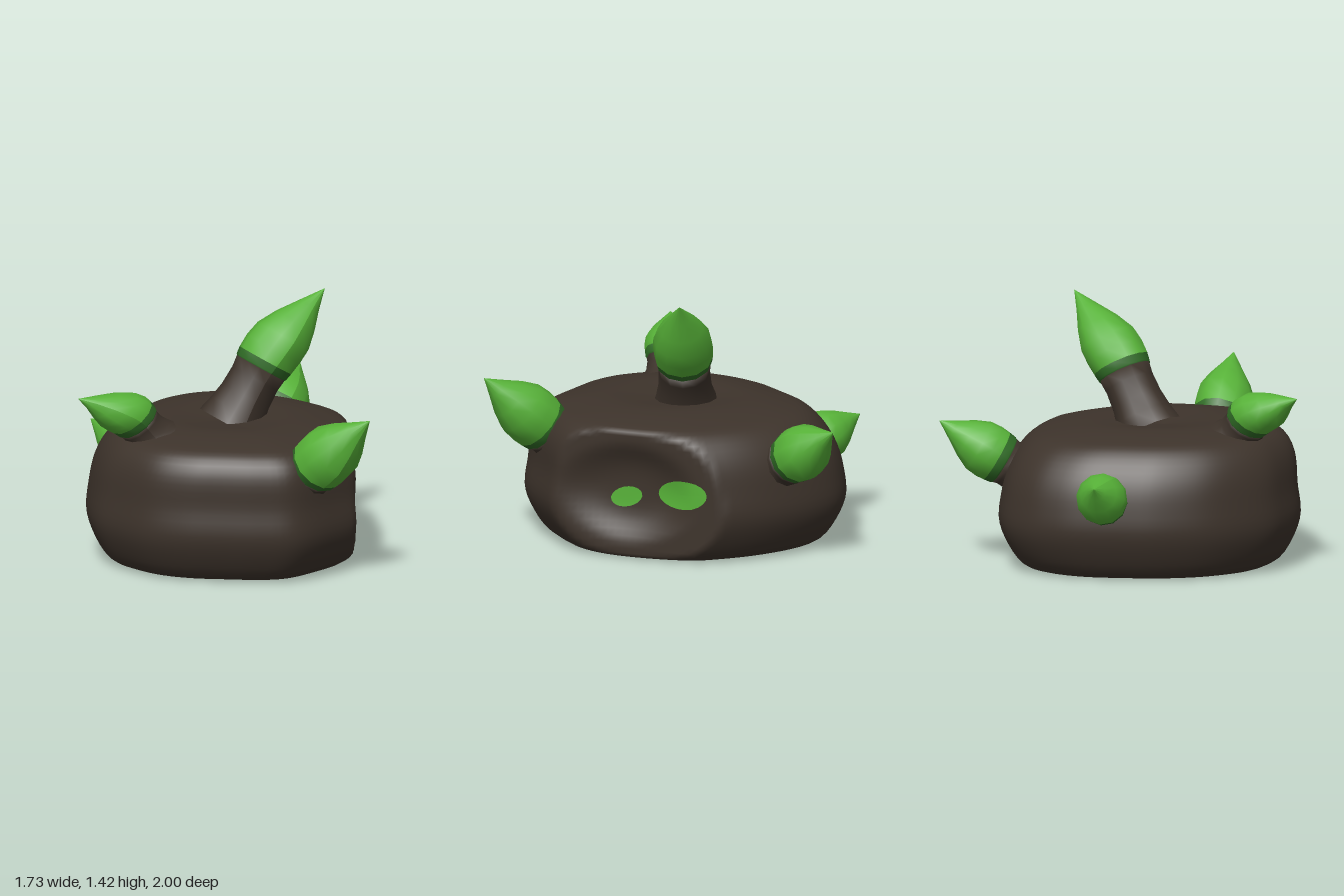
import * as THREE from 'three';

const mat = (name, color, side = THREE.FrontSide) => {
  const m = new THREE.MeshStandardMaterial({ color, side });
  m.name = name;
  return m;
};
const V = (x, y, z) => new THREE.Vector3(x, y, z);

// Sunken face on the +x side: how far a point may stick out along the face normal
const FACE_N = V(0.958, 0, 0.287), FACE_P = V(0.7, 0, 0.1);
function faceLimit(z, y) {
  const d = Math.hypot((z - 0.22) / 0.4, (y - 0.37) / 0.29);
  const t = Math.max(0, 1 - d * d);
  return -0.07 * t * t * (3 - 2 * t);
}
function clampToFace(p) {
  const out = p.clone().sub(FACE_P).dot(FACE_N);
  const limit = faceLimit(p.z, p.y);
  if (out > limit) p.addScaledVector(FACE_N, limit - out);
  return p;
}

// Lumpy body: one plan outline scaled by a height profile, with the face pressed in
function bodyGeometry() {
  const plan = [[0.18, -0.96], [0.36, -0.93], [0.52, -0.82], [0.7, -0.6], [0.82, -0.36], [0.87, -0.18],
    [0.83, 0.15], [0.73, 0.42], [0.6, 0.58], [0.42, 0.69], [0.12, 0.8], [-0.08, 0.74], [-0.27, 0.64],
    [-0.44, 0.54], [-0.6, 0.38], [-0.7, 0.15], [-0.73, 0], [-0.7, -0.2], [-0.62, -0.4],
    [-0.45, -0.62], [-0.3, -0.74], [-0.1, -0.88], [0.02, -0.93]];
  const profile = [[0, 0], [0.4, 0], [0.77, 0], [0.86, 0.03], [0.945, 0.13], [1, 0.26], [0.98, 0.42],
    [0.95, 0.56], [0.9, 0.65], [0.82, 0.715], [0.68, 0.75], [0.45, 0.775], [0.25, 0.765], [0, 0.745]];
  const N = 120, R = 60;
  const loop = new THREE.CatmullRomCurve3(plan.map(([x, z]) => V(x, 0, z)), true).getSpacedPoints(N);
  const rows = new THREE.CatmullRomCurve3(profile.map(([s, y]) => V(s, y, 0))).getSpacedPoints(R);
  const cx = 0.04, cz = -0.08, pos = [], index = [];
  rows.forEach(({ x: s, y }, i) => {
    // the back leans in further than the front
    const lean = 0.05 * THREE.MathUtils.smoothstep(y, 0.4, 0.75);
    for (let j = 0; j < N; j++) {
      const p = V(cx + (loop[j].x - cx) * s, Math.max(0, y), cz + lean + (loop[j].z - cz) * s);
      pos.push(...clampToFace(p).toArray());
      if (i < R) {
        const a = i * N + j, b = i * N + (j + 1) % N;
        index.push(a, a + N, b, b, a + N, b + N);
      }
    }
  });
  const g = new THREE.BufferGeometry();
  g.setAttribute('position', new THREE.Float32BufferAttribute(pos, 3));
  g.setIndex(index);
  g.computeVertexNormals();
  return g;
}

// Eye patch laid onto the sunken face
function eyeGeometry(z, y, hz, hy, tilt) {
  const g = new THREE.RingGeometry(0.001, 1, 20, 5);
  const pos = g.attributes.position;
  for (let i = 0; i < pos.count; i++) {
    const u = pos.getX(i) * hz, v = pos.getY(i) * hy;
    const pz = z - (u * Math.cos(tilt) - v * Math.sin(tilt));
    const py = y + u * Math.sin(tilt) + v * Math.cos(tilt);
    // depth measured along x so the patch keeps its side outline
    const x = FACE_P.x + (faceLimit(pz, py) + 0.009 - (pz - FACE_P.z) * FACE_N.z) / FACE_N.x;
    pos.setXYZ(i, x, py, pz);
  }
  g.computeVertexNormals();
  return g;
}

// Turned part rising from "from" along "axis", its upper end drifting sideways by "drift"
function turned(name, points, material, from, axis, drift = V(0, 0, 0), height = 1) {
  const g = new THREE.LatheGeometry(points.map(([r, y]) => new THREE.Vector2(r, y)), 12);
  const q = new THREE.Quaternion().setFromUnitVectors(V(0, 1, 0), axis);
  const pos = g.attributes.position;
  for (let i = 0; i < pos.count; i++) {
    const p = V().fromBufferAttribute(pos, i);
    const k = Math.pow(Math.max(0, p.y / height), 1.5);
    p.applyQuaternion(q).addScaledVector(drift, k).add(from);
    pos.setXYZ(i, p.x, p.y, p.z);
  }
  g.computeVertexNormals();
  const m = new THREE.Mesh(g, material);
  m.name = name;
  return m;
}

export function createModel() {
  const brown = mat('dark brown hide', 0x3d332b);
  const green = mat('bright green', 0x57b238, THREE.DoubleSide);
  const darkGreen = mat('dark green', 0x306c26);
  const model = new THREE.Group();
  model.name = 'hornedCreature';

  const body = new THREE.Mesh(bodyGeometry(), brown);
  body.name = 'body';
  model.add(body);

  // Eyes
  [['leftEye', 0.21, 0.335, 0.09, 0.055, 0.3], ['rightEye', -0.105, 0.385, 0.137, 0.08, 0.12]]
    .forEach(([name, ...e]) => {
      const eye = new THREE.Mesh(eyeGeometry(...e), green);
      eye.name = name;
      model.add(eye);
    });

  // Horns: name, collar centre, neck direction, tip, widest radius, neck length
  const horns = [
    ['topHorn', V(0.275, 1.015, -0.08), V(0.52, 0.85, 0), V(0.65, 1.42, -0.08), 0.165, 0.36],
    ['sideHorn', V(-0.515, 0.82, 0.055), V(-0.62, 0.78, 0), V(-0.87, 0.985, 0.07), 0.138, 0.15],
    ['frontHorn', V(0.27, 0.63, 0.68), V(0.3, 0.66, 0.68), V(0.465, 0.95, 1.0), 0.165, 0.17],
    ['cornerHorn', V(0.61, 0.565, -0.69), V(0.62, 0.5, -0.6), V(0.86, 0.785, -0.935), 0.152, 0.17],
    ['backHorn', V(-0.195, 0.44, -0.75), V(-0.5, 0.4, -0.75), V(-0.35, 0.565, -1.0), 0.14, 0.15],
  ];
  for (const [name, ring, dir, tip, r, n] of horns) {
    const horn = new THREE.Group();
    horn.name = name;
    const axis = dir.normalize(), reach = tip.clone().sub(ring);
    const h = reach.dot(axis), drift = reach.clone().addScaledVector(axis, -h), band = 0.042;
    // Neck widens slightly into the body
    horn.add(turned('neck', [[r * 1.12, 0], [r * 0.98, n * 0.25], [r * 0.88, n * 0.5],
      [r * 0.85, n * 0.8], [r * 0.9, n], [0, n + 0.01]], brown, ring.clone().addScaledVector(axis, -n), axis));
    // Dark collar and green spike share one bent profile
    horn.add(turned('collar', [[r * 0.88, -0.01], [r * 0.93, 0], [r * 0.97, band]],
      darkGreen, ring, axis, drift, h));
    horn.add(turned('spike', [[r * 0.97, band], [r, h * 0.22], [r * 0.96, h * 0.38], [r * 0.72, h * 0.57],
      [r * 0.36, h * 0.78], [0, h]], green, ring, axis, drift, h));
    model.add(horn);
  }
  return model;
}
